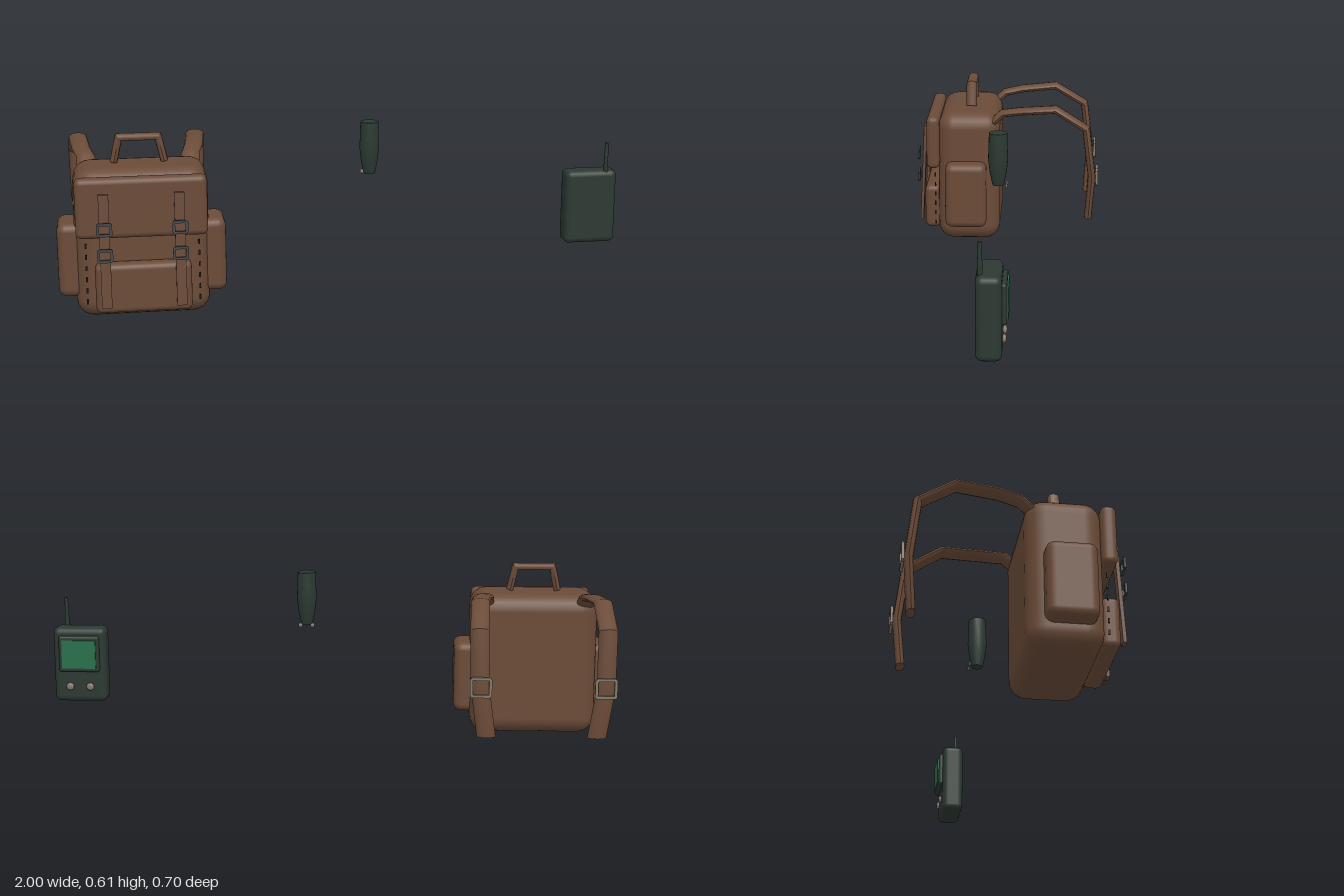
import * as THREE from 'three';
import { toCreasedNormals } from 'three/addons/utils/BufferGeometryUtils.js';
import { RoundedBoxGeometry } from 'three/addons/geometries/RoundedBoxGeometry.js';

const material = (name, color) => Object.assign(new THREE.MeshStandardMaterial({ color }), { name });
const canvas = material('brown canvas', 0x6b4b38);
const casing = material('dark green casing', 0x2c3932);
const metal = material('dark metal', 0x444a4c);
const worn = material('worn metal', 0x857a6c);
const screenGreen = material('screen green', 0x2a704c);
const thread = material('dark thread', 0x201a17);

function add(parent, name, geometry, mat, x = 0, y = 0, z = 0) {
  const mesh = new THREE.Mesh(geometry, mat);
  mesh.name = name;
  mesh.position.set(x, y, z);
  parent.add(mesh);
  return mesh;
}

const softBox = (w, h, d, r, segments = 3) => new RoundedBoxGeometry(w, h, d, segments, r);

// Sweeps an oval section along a bent path, with mitred joints and closed ends
function sweep(path, side, halfWidth, halfThick, n = 12) {
  const pts = path.map(p => new THREE.Vector3(...p));
  const pos = [], index = [], last = pts.length - 1;
  pts.forEach((p, i) => {
    const before = p.clone().sub(pts[Math.max(i - 1, 0)]).normalize();
    const after = pts[Math.min(i + 1, last)].clone().sub(p).normalize();
    const tangent = before.clone().add(after).normalize();
    const miter = i > 0 && i < last ? 1 / Math.max(tangent.dot(after), 0.6) : 1;
    const normal = tangent.clone().cross(side).normalize();
    for (let j = 0; j < n; j++) {
      const a = (j / n) * Math.PI * 2;
      const v = p.clone().addScaledVector(side, Math.cos(a) * halfWidth)
        .addScaledVector(normal, Math.sin(a) * halfThick * miter);
      pos.push(v.x, v.y, v.z);
    }
  });
  const start = pos.length / 3;
  pos.push(...path[0], ...path[last]);
  for (let j = 0; j < n; j++) {
    const k = (j + 1) % n;
    for (let i = 0; i < last; i++) {
      const a = i * n + j, b = i * n + k;
      index.push(a, b, b + n, a, b + n, a + n);
    }
    index.push(start, k, j, start + 1, last * n + j, last * n + k);
  }
  const g = new THREE.BufferGeometry();
  g.setAttribute('position', new THREE.Float32BufferAttribute(pos, 3));
  g.setIndex(index);
  return toCreasedNormals(g, 0.65);
}

// Rectangular frame with an open middle, centred on its own origin
function frame(w, h, bar, depth) {
  const shape = new THREE.Shape();
  const c = bar * 0.7, x = w / 2, y = h / 2;
  shape.setFromPoints([[-x + c, -y], [x - c, -y], [x, -y + c], [x, y - c],
    [x - c, y], [-x + c, y], [-x, y - c], [-x, -y + c]].map(p => new THREE.Vector2(...p)));
  const u = x - bar, v = y - bar;
  shape.holes.push(new THREE.Path([[-u, -v], [-u, v], [u, v], [u, -v]].map(p => new THREE.Vector2(...p))));
  return new THREE.ExtrudeGeometry(shape, { depth, bevelEnabled: false }).translate(0, 0, -depth / 2);
}

function buildBackpack() {
  const pack = new THREE.Group();
  pack.name = 'backpack';
  pack.position.x = -0.717;

  add(pack, 'packBody', softBox(0.45, 0.51, 0.24, 0.06), canvas, 0, 0.255, 0.151);
  add(pack, 'topFlap', softBox(0.436, 0.205, 0.05, 0.02), canvas, 0, 0.393, 0.29);
  add(pack, 'frontPocket', softBox(0.32, 0.17, 0.06, 0.02), canvas, 0, 0.12, 0.297);

  // Carry handle
  add(pack, 'carryHandle', sweep([[-0.085, 0.513, 0], [-0.066, 0.597, 0], [0.066, 0.597, 0], [0.085, 0.513, 0]],
    new THREE.Vector3(0, 0, 1), 0.02, 0.013), canvas, 0, 0, 0.145);

  for (const s of [-1, 1]) {
    const label = s > 0 ? 'left' : 'right';
    add(pack, label + 'SidePocket', softBox(0.1, 0.255, 0.16, 0.028), canvas, s * 0.233, 0.197, 0.161);

    // Closing strap with two buckles
    const strap = add(pack, label + 'ClosingStrap', new THREE.BoxGeometry(0.034, 0.385, 0.012), canvas,
      s * 0.124, 0.253, 0.332);
    strap.rotation.x = -0.05;
    for (const y of [0.244, 0.333]) {
      add(pack, label + 'ClosingBuckle', frame(0.052, 0.046, 0.009, 0.007), metal, s * 0.124, y, 0.35);
    }

    // Stitching beside the front pocket
    for (let i = 0; i < 6; i++) {
      add(pack, label + 'Stitch', new THREE.BoxGeometry(0.006, 0.015, 0.005), thread,
        s * 0.188, 0.067 + i * 0.0388, 0.283);
    }

    // Shoulder strap hanging behind the pack
    add(pack, label + 'ShoulderStrap', sweep([
      [s * 0.175, 0.455, 0.075], [s * 0.18, 0.507, 0.02], [s * 0.195, 0.519, -0.05], [s * 0.207, 0.53, -0.185],
      [s * 0.213, 0.457, -0.303], [s * 0.21, 0.265, -0.327], [s * 0.186, 0.092, -0.315],
    ], new THREE.Vector3(1, 0, 0), 0.032, 0.0145), canvas);
    add(pack, label + 'ShoulderBuckle', frame(0.074, 0.07, 0.01, 0.009), worn, s * 0.208, 0.27, -0.346);
  }
  return pack;
}

function buildFlask() {
  const flask = new THREE.Group();
  flask.name = 'flask';
  flask.position.set(0.094, 0, 0.014);
  const profile = [[0, 0.408], [0.02, 0.408], [0.029, 0.45], [0.035, 0.5], [0.033, 0.55], [0.032, 0.595], [0, 0.595]]
    .map(p => new THREE.Vector2(...p));
  add(flask, 'flaskBody', toCreasedNormals(new THREE.LatheGeometry(profile, 20), 0.6), casing);
  for (const s of [-1, 1]) {
    add(flask, 'flaskKnob', new THREE.SphereGeometry(0.008, 10, 8), worn, s * 0.021, 0.408, -0.029)
      .scale.z = 0.6;
  }
  return flask;
}

function buildHandset() {
  const handset = new THREE.Group();
  handset.name = 'handset';
  handset.position.x = 0.906;
  add(handset, 'handsetCase', softBox(0.188, 0.27, 0.08, 0.021), casing, 0, 0.257, 0.01);
  add(handset, 'antenna', new THREE.CylinderGeometry(0.006, 0.009, 0.12, 12), casing, 0.054, 0.432, 0.036);
  // Screen and buttons on the back
  add(handset, 'screenBezel', softBox(0.145, 0.13, 0.02, 0.008, 2), casing, 0, 0.3, -0.035);
  add(handset, 'screen', new THREE.BoxGeometry(0.12, 0.102, 0.008), screenGreen, 0, 0.3, -0.0455);
  for (const s of [-1, 1]) {
    add(handset, 'button', new THREE.SphereGeometry(0.014, 14, 10), worn, s * 0.036, 0.18, -0.036)
      .scale.z = 0.5;
  }
  return handset;
}

export function createModel() {
  const model = new THREE.Group();
  model.name = 'travelKit';
  model.add(buildBackpack(), buildFlask(), buildHandset());
  return model;
}
